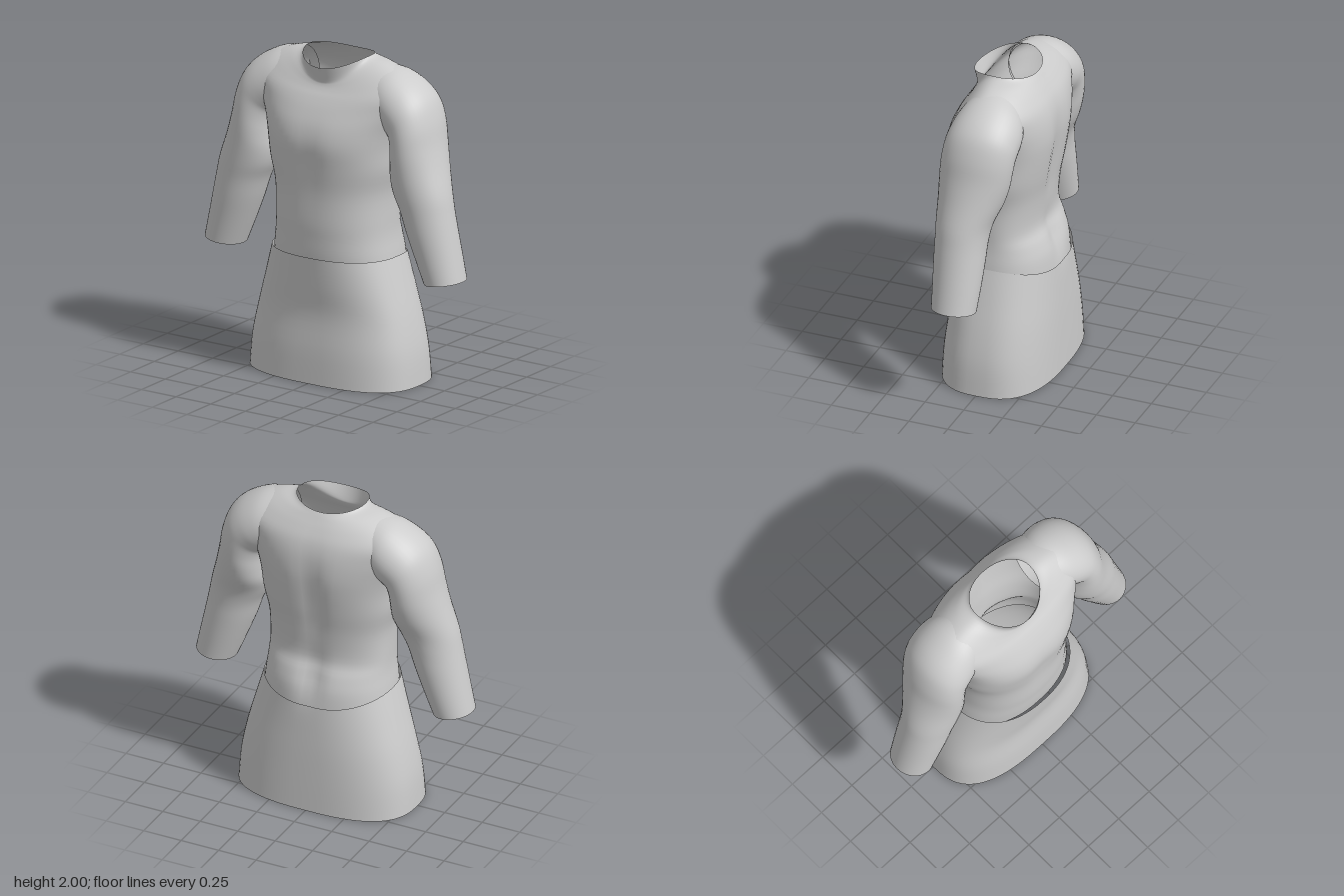
import * as THREE from 'three';

const cloth = new THREE.MeshStandardMaterial({ color: 0xcccccc, side: THREE.DoubleSide });
cloth.name = 'grey cloth';

// Smoothly interpolates a table of cross-section rows.
function refine(rows, steps) {
  const out = [], last = rows.length - 1;
  for (let i = 0; i < last; i++) {
    const [p, a, b, q] = [rows[Math.max(i - 1, 0)], rows[i], rows[i + 1], rows[Math.min(i + 2, last)]];
    for (let s = 0; s < steps; s++) {
      const t = s / steps;
      out.push(a.map((v, k) => v + 0.5 * t * (b[k] - p[k] + t * (2 * p[k] - 5 * v + 4 * b[k] - q[k]
        + t * (3 * (v - b[k]) + q[k] - p[k])))));
    }
  }
  out.push(rows[last]);
  return out;
}

// Skins closed rings, listed from bottom to top.
function loft(name, rows, point, flip = false, steps = 4, sides = 64) {
  const rings = refine(rows, steps), pos = [], idx = [];
  rings.forEach((row, i) => {
    for (let j = 0; j < sides; j++) {
      pos.push(...point(row, j / sides * Math.PI * 2));
      if (i === rings.length - 1) continue;
      const a = i * sides + j, n = i * sides + (j + 1) % sides, u = a + sides, v = n + sides;
      if (flip) idx.push(a, n, u, n, v, u);
      else idx.push(a, u, n, n, u, v);
    }
  });
  const geo = new THREE.BufferGeometry();
  geo.setAttribute('position', new THREE.Float32BufferAttribute(pos, 3));
  geo.setIndex(idx);
  geo.computeVertexNormals();
  const mesh = new THREE.Mesh(geo, cloth);
  mesh.name = name;
  return mesh;
}

const bump = (v, centre, width) => Math.exp(-(((v - centre) / width) ** 2));
const power = (v, e) => Math.sign(v) * Math.abs(v) ** e;

// Body row: half width, front z, back z, then y at front, side and back, squareness.
function bodyPoint([w, zf, zb, yf, ys, yb, n], t) {
  const c = Math.cos(t), s = Math.sin(t);
  const x = w * power(c, 2 / n), d = power(s, 2 / n);
  const y = ys + ((s > 0 ? yf : yb) - ys) * s * s;
  let z = d > 0 ? d * zf : -d * zb;
  // Spine groove, hollow at the small of the back, and breastbone crease.
  if (s < 0) z += bump(x, 0, 0.07) * (0.03 * bump(y, 1.45, 0.3) + 0.035 * bump(y, 0.88, 0.13));
  else z -= 0.012 * bump(x, 0, 0.08) * bump(y, 1.4, 0.2);
  return [x, y, z];
}

const skirtRows = [
  [0.57, 0.345, -0.355, 0, 0, 0, 2.7],
  [0.555, 0.337, -0.352, 0.2, 0.2, 0.18, 2.6],
  [0.515, 0.318, -0.347, 0.42, 0.4, 0.38, 2.5],
  [0.46, 0.335, -0.34, 0.6, 0.6, 0.55, 2.4],
  [0.408, 0.355, -0.333, 0.79, 0.78, 0.71, 2.3],
];

const torsoRows = [
  [0.41, 0.315, -0.322, 0.7, 0.7, 0.66, 2.3],
  [0.4, 0.325, -0.31, 0.8, 0.8, 0.8, 2.3],
  [0.388, 0.33, -0.28, 0.9, 0.9, 0.9, 2.3],
  [0.385, 0.335, -0.24, 1, 1, 1, 2.3],
  [0.39, 0.335, -0.252, 1.18, 1.18, 1.18, 2.3],
  [0.425, 0.35, -0.28, 1.34, 1.34, 1.34, 2.3],
  [0.44, 0.362, -0.305, 1.48, 1.48, 1.5, 2.3],
  [0.47, 0.34, -0.312, 1.59, 1.6, 1.61, 2.3],
  [0.53, 0.293, -0.302, 1.69, 1.73, 1.72, 2.2],
  [0.555, 0.25, -0.275, 1.76, 1.84, 1.81, 2.2],
  [0.46, 0.22, -0.235, 1.8, 1.92, 1.88, 2.1],
  [0.34, 0.203, -0.2, 1.83, 1.966, 1.93, 2],
  [0.245, 0.203, -0.182, 1.855, 1.985, 1.955, 2],
  [0.22, 0.228, -0.17, 1.94, 2, 1.97, 2],
];

// Sleeve row: outer x and y, inner x and y, front z, back z.
const sleeveRows = [
  [0.915, 0.72, 0.665, 0.685, 0.185, -0.09],
  [0.885, 0.86, 0.6, 0.84, 0.195, -0.1],
  [0.855, 1, 0.54, 0.99, 0.205, -0.107],
  [0.83, 1.12, 0.495, 1.12, 0.21, -0.112],
  [0.805, 1.24, 0.445, 1.22, 0.217, -0.13],
  [0.757, 1.4, 0.42, 1.31, 0.222, -0.18],
  [0.722, 1.53, 0.42, 1.4, 0.225, -0.212],
  [0.695, 1.66, 0.42, 1.48, 0.222, -0.228],
  [0.655, 1.77, 0.41, 1.53, 0.215, -0.236],
  [0.6, 1.842, 0.39, 1.55, 0.21, -0.24],
  [0.52, 1.9, 0.36, 1.57, 0.2, -0.24],
  [0.42, 1.945, 0.32, 1.6, 0.18, -0.225],
  [0.3, 1.965, 0.25, 1.65, 0.14, -0.18],
];

const sleevePoint = (side) => ([ox, oy, ix, iy, zf, zb], t) => {
  const k = (1 + Math.cos(t)) / 2;
  return [side * (ix + (ox - ix) * k), iy + (oy - iy) * k, (zf + zb) / 2 + Math.sin(t) * (zf - zb) / 2];
};

export function createModel() {
  const model = new THREE.Group();
  model.name = 'tunic';
  model.add(loft('skirt', skirtRows, bodyPoint));
  model.add(loft('torsoAndCollar', torsoRows, bodyPoint));
  for (const side of [1, -1]) {
    model.add(loft(side > 0 ? 'leftSleeve' : 'rightSleeve', sleeveRows, sleevePoint(side), side < 0, 4, 40));
  }
  return model;
}
